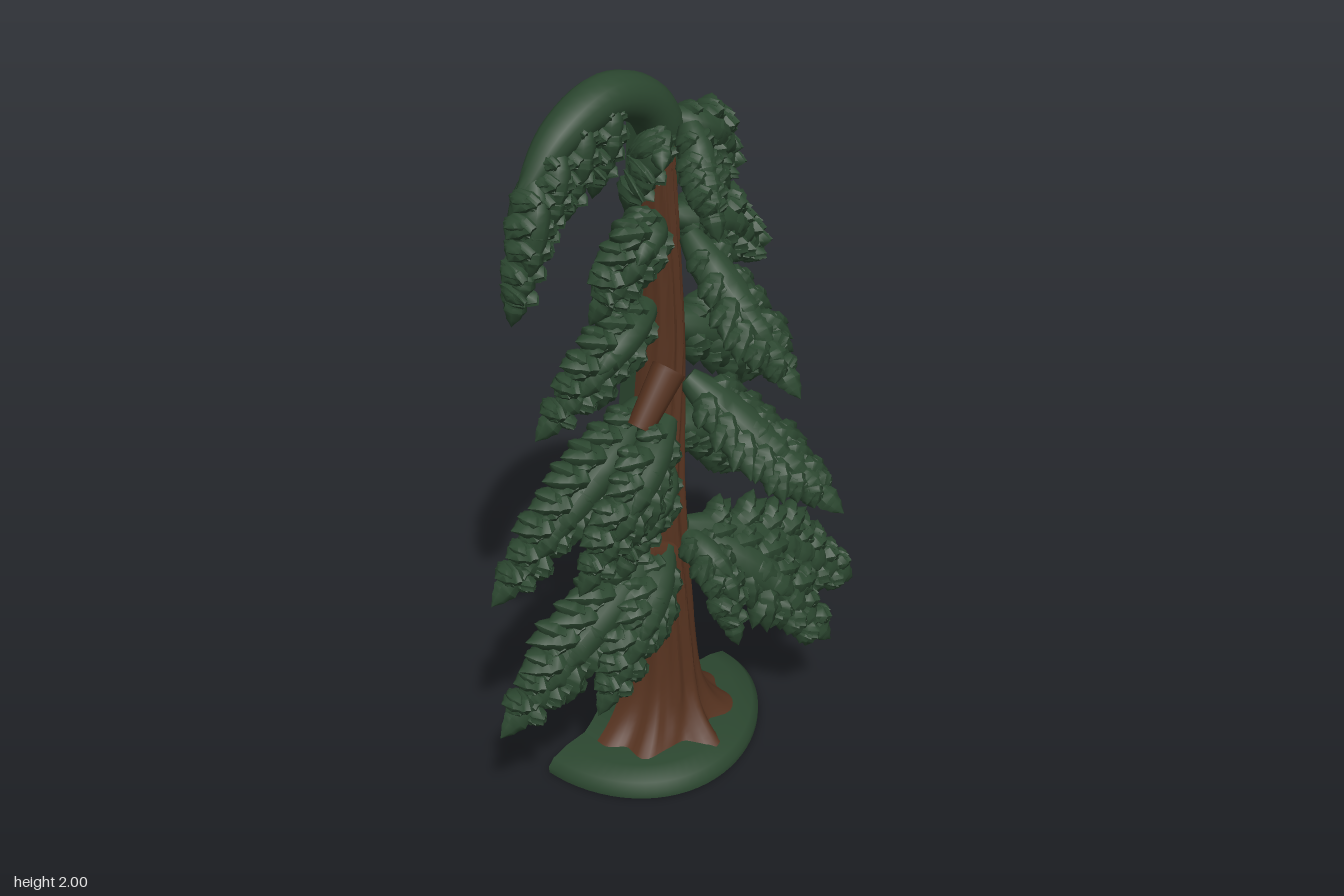
import * as THREE from 'three';
import { mergeGeometries, toCreasedNormals } from 'three/addons/utils/BufferGeometryUtils.js';

const BACK = -0.265; // the flat rear plane
const CHORD = -0.212; // where bark meets the rear slab
const V = (x, y, z) => new THREE.Vector3(x, y, z);
const range = (n, f) => Array.from({ length: n }, (_, i) => f(i));

let seed = 7;
const jitter = (a) => {
  seed = (seed * 16807) % 2147483647;
  return (seed / 2147483647 - 0.5) * 2 * a;
};

// Trunk rules by height: centre, half width and depth of the rounded front
const trunkX = (y) => 0.03 * THREE.MathUtils.smoothstep(y, 0.8, 1.35);
const trunkHalf = (y) => 0.112 - 0.043 * y + 0.24 * Math.exp(-y / 0.08);
const trunkDepth = (y) => 0.15 - 0.045 * y + 0.12 * Math.exp(-y / 0.08);

// Skin closed rings into a capped solid
function loft(rings) {
  const n = rings[0].length, pos = [], idx = [];
  rings.forEach((r) => r.forEach((p) => pos.push(p.x, p.y, p.z)));
  for (let i = 0; i < rings.length - 1; i++) {
    for (let j = 0; j < n; j++) {
      const k = (j + 1) % n, a = i * n + j, b = i * n + k;
      idx.push(a, a + n, b, b, a + n, b + n);
    }
  }
  [rings[0], rings[rings.length - 1]].forEach((r, e) => {
    const c = r.reduce((s, p) => s.add(p), V(0, 0, 0)).divideScalar(n);
    const ci = pos.length / 3, off = e * (rings.length - 1) * n;
    pos.push(c.x, c.y, c.z);
    for (let j = 0; j < n; j++) {
      const a = off + j, b = off + (j + 1) % n;
      if (e) idx.push(ci, b, a);
      else idx.push(ci, a, b);
    }
  });
  const g = new THREE.BufferGeometry();
  g.setAttribute('position', new THREE.Float32BufferAttribute(pos, 3));
  g.setIndex(idx);
  return g;
}

// Flatten everything behind the rear plane, keep sharp creases
function finish(g, angle) {
  const p = g.attributes.position;
  for (let i = 0; i < p.count; i++) p.setZ(i, Math.max(p.getZ(i), BACK));
  return toCreasedNormals(g, angle);
}

// Point and axes on a spine: T along, N up from the surface, S sideways
function frame(curve, t, normal) {
  const P = curve.getPoint(t), T = curve.getTangent(t);
  const N = normal.clone().addScaledVector(T, -normal.dot(T)).normalize();
  return { P, T, N, S: T.clone().cross(N) };
}

// Limb with elliptical section; width and thickness are functions of t
function limb(curve, normal, width, thick, steps = 14, sides = 12) {
  return loft(range(steps + 1, (i) => {
    const t = i / steps, { P, N, S } = frame(curve, t, normal);
    return range(sides, (j) => {
      const a = (j / sides) * Math.PI * 2;
      return P.clone().addScaledVector(S, Math.cos(a) * width(t)).addScaledVector(N, Math.sin(a) * thick(t));
    });
  }));
}

// Spine that arches up and forward before it droops
const spine = (start, tip, lift) =>
  new THREE.CatmullRomCurve3([start, start.clone().lerp(tip, 0.5).add(V(0, lift, lift * 0.8)), tip]);

// Starting point on the trunk for a limb with the given tip
const onTrunk = (y, tip) =>
  V(trunkX(y) + 0.035 * Math.sign(tip.x), y, THREE.MathUtils.clamp(tip.z, -0.2, -0.12));

// One needle cluster: a rounded spindle with shallow overlapping scales
const leaf = new THREE.LatheGeometry(range(10, (i) => {
  const t = i / 9, step = i % 2 ? 1 : 0.87;
  return new THREE.Vector2(i === 9 ? 0 : Math.sin(Math.PI * Math.pow(t, 0.85)) * step, t);
}), 7);
leaf.deleteAttribute('uv');
leaf.deleteAttribute('normal');

function leafAt(P, dir, N, width, length, thick) {
  const Y = dir.clone().normalize();
  const Z = N.clone().addScaledVector(Y, -N.dot(Y)).normalize();
  const m = new THREE.Matrix4().makeBasis(Y.clone().cross(Z), Y, Z);
  m.scale(V(width, length, thick)).setPosition(P);
  return leaf.clone().applyMatrix4(m);
}

// Drooping bough: narrow core, layered clusters along it and feathered sprays on both edges
function boughGeometry(curve, W, normal, thick) {
  const pairs = Math.round(3 + curve.getLength() * 8);
  const swell = (t) => Math.sin(Math.PI * Math.pow(0.06 + t * 0.9, 0.8));
  const parts = [limb(curve, normal, (t) => 0.015 + W * 0.38 * swell(t), (t) => 0.018 + (thick - 0.012) * swell(t))];
  for (let i = 0; i < pairs; i++) {
    const t = 0.1 + (0.84 * i) / (pairs - 1);
    const { P, T, N, S } = frame(curve, t, normal);
    const start = P.clone().addScaledVector(N, 0.012);
    parts.push(leafAt(P.clone().addScaledVector(N, thick * 0.55 * swell(t)), T, N, 0.02 + W * 0.16, 0.07 + W * 0.45, 0.03));
    for (const side of [-1, 1]) {
      const dir = T.clone().multiplyScalar(0.85 + jitter(0.1)).addScaledVector(S, side * (0.8 + jitter(0.12)))
        .addScaledVector(N, -0.12 + jitter(0.08)).normalize();
      const L = W * (0.45 + 0.85 * swell(t)) * (1 + jitter(0.12));
      const w = 0.02 + L * 0.12;
      parts.push(leafAt(start, dir, N, w, L, thick));
      // side tufts fanning from each spray
      for (const s of [-1, 1]) {
        const d = dir.clone().addScaledVector(dir.clone().cross(N), s * 0.5);
        parts.push(leafAt(start.clone().addScaledVector(dir, L * 0.3), d, N, w * 0.7, L * 0.62, thick * 0.8));
      }
    }
  }
  const { P, T, N } = frame(curve, 0.88, normal);
  parts.push(leafAt(P, T, N, 0.034, 0.1, thick * 0.8));
  return finish(mergeGeometries(parts), 0.9);
}

export function createModel() {
  const group = new THREE.Group();
  const green = new THREE.MeshStandardMaterial({ color: 0x2b462f });
  green.name = 'foliage green';
  const brown = new THREE.MeshStandardMaterial({ color: 0x55321f });
  brown.name = 'bark brown';
  const add = (name, geometry, material) => {
    const m = new THREE.Mesh(geometry, material);
    m.name = name;
    group.add(m);
    return m;
  };

  // Ground mound: lopsided half oval with a straight rear edge
  const mound = (s, y) => range(37, (j) => {
    const a = (j / 36) * Math.PI;
    return V(s * (0.005 + 0.365 * Math.cos(a)), y, BACK + s * Math.sin(a) * (0.355 - 0.05 * Math.cos(a)));
  });
  add('groundMound', finish(loft([mound(1, 0), mound(1, 0.02), mound(0.95, 0.04), mound(0.8, 0.056), mound(0.45, 0.066)]), 0.8), green);

  // Rounded bark front with ridges and flared roots
  const heights = range(46, (i) => 0.03 + 1.82 * Math.pow(i / 45, 1.6));
  const bark = heights.map((y) => {
    const root = 0.2 * Math.max(0, 1 - y / 0.2);
    return range(41, (j) => {
      const a = (j / 40) * Math.PI;
      const r = 1 + Math.sin(a) * (0.05 * Math.sin(13 * a + 2 * Math.sin(y * 6)) + root * Math.cos(8 * a));
      return V(trunkX(y) + Math.cos(a) * trunkHalf(y) * r, y, CHORD + Math.sin(a) * trunkDepth(y) * r);
    });
  });
  add('trunkBark', finish(loft(bark), 0.8), brown);

  // Flat rear of the trunk with a round socket
  const edge = (s) => heights.map((y) => new THREE.Vector2(trunkX(y) + s * trunkHalf(y), y));
  const slab = new THREE.Shape([...edge(1), ...edge(-1).reverse()]);
  slab.holes.push(new THREE.Path().absarc(0, 0.142, 0.075, 0, Math.PI * 2, true));
  add('trunkBack', new THREE.ExtrudeGeometry(slab, { depth: CHORD - BACK, bevelEnabled: false, curveSegments: 24 }), green)
    .position.z = BACK;
  const floor = add('socketFloor', new THREE.CircleGeometry(0.077, 24), green);
  floor.position.set(0, 0.142, CHORD - 0.003);
  floor.rotation.y = Math.PI;

  // Bare stubs where boughs leave the trunk
  const stub = (y, tip) => add('branchStub', finish(limb(spine(onTrunk(y, tip), tip, 0), V(0, 0, 1),
    (t) => 0.05 - 0.015 * t, (t) => 0.045 - 0.01 * t), 0.8), brown);
  stub(1.2, V(-0.12, 1.07, -0.12));
  stub(0.64, V(-0.11, 0.69, -0.12));

  // Bent leader arching over to one side
  const arch = new THREE.CatmullRomCurve3([V(0.035, 1.58, -0.2), V(0.06, 1.77, -0.199), V(0, 1.89, -0.199),
    V(-0.13, 1.938, -0.199), V(-0.28, 1.885, -0.199), V(-0.4, 1.78, -0.199)]);
  const taper = (t) => Math.min(1, 0.45 + t * 2) * (1 - 0.7 * Math.pow(t, 6));
  add('bentLeader', finish(limb(arch, V(0, 0, 1), (t) => 0.061 * taper(t), (t) => 0.066 * taper(t), 28, 16), 1.2), green);

  // Boughs hang as sheets, those at the rear being thicker; the ones reaching out front lie flat and straight
  const SHEET = V(0, 0.25, 1), FLAT = V(0, 1, 0.9);
  const bough = (y, tip, halfWidth) => add('bough', boughGeometry(spine(onTrunk(y, tip), tip, 0.035), halfWidth, SHEET,
    tip.z < -0.12 ? 0.062 : 0.05), green);
  const frontBough = (y, tip, halfWidth) =>
    add('frontBough', boughGeometry(spine(onTrunk(y, tip), tip, 0), halfWidth, FLAT, 0.045), green);

  // lowest tier
  bough(0.7, V(0.53, 0.38, 0.01), 0.14);
  bough(0.69, V(0.34, 0.33, 0.09), 0.13);
  bough(0.68, V(0.05, 0.47, 0.04), 0.08);
  bough(0.69, V(-0.54, 0.39, -0.15), 0.14);
  bough(0.67, V(-0.3, 0.39, -0.06), 0.12);
  // second tier
  frontBough(1.15, V(0.2, 0.88, 0.2), 0.13);
  bough(1.0, V(0.33, 0.78, -0.2), 0.11);
  bough(1.08, V(-0.51, 0.76, -0.2), 0.12);
  bough(1.06, V(-0.33, 0.77, -0.08), 0.11);
  bough(0.92, V(-0.19, 0.74, -0.09), 0.08);
  // third tier
  bough(1.28, V(0.46, 1.04, -0.2), 0.13);
  bough(1.36, V(-0.33, 1.17, -0.2), 0.1);
  // fourth tier
  frontBough(1.55, V(0.07, 1.28, 0.18), 0.11);
  bough(1.58, V(0.37, 1.4, -0.2), 0.1);
  bough(1.6, V(-0.16, 1.45, -0.18), 0.1);
  // crown
  bough(1.84, V(0.25, 1.67, -0.19), 0.085);
  frontBough(1.84, V(0.02, 1.67, -0.01), 0.075);
  bough(1.8, V(-0.05, 1.7, -0.19), 0.05);

  // Fronds hanging from the leader, longest at its tip
  for (let i = 0; i < 4; i++) {
    const start = arch.getPoint(0.95 - 0.11 * i), drop = 0.12 + 0.15 / (1 + i);
    const tip = start.clone().add(V(-0.07 + 0.015 * i, -drop, 0));
    add('hangingFrond', boughGeometry(spine(start, tip, 0.015), 0.04 + 0.12 * drop, SHEET, 0.055), green);
  }
  return group;
}
